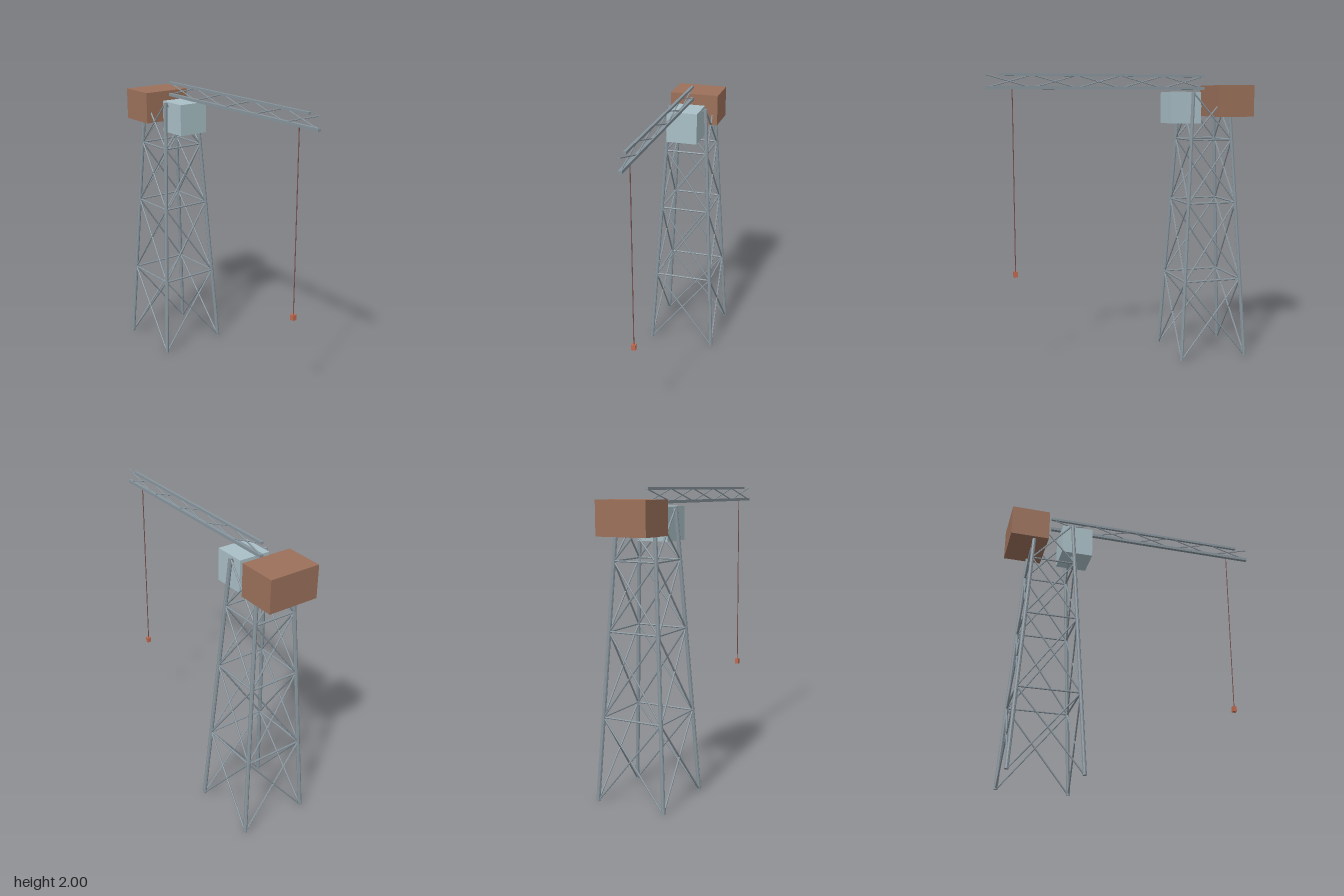
import * as THREE from 'three';

const paint = (color) => new THREE.MeshStandardMaterial({ color, flatShading: true });
const steel = paint(0x87949c);
const cabPaint = paint(0xa9bfc6);
const rust = paint(0x9b705a);
const ropePaint = paint(0x7a5650);
const loadPaint = paint(0xc06a50);

const UP = new THREE.Vector3(0, 1, 0);

// Round bar running between two points
function bar(name, a, b, radius, material = steel, sides = 8) {
  const dir = b.clone().sub(a);
  const mesh = new THREE.Mesh(new THREE.CylinderGeometry(radius, radius, dir.length(), sides), material);
  mesh.position.copy(a).add(b).multiplyScalar(0.5);
  mesh.quaternion.setFromUnitVectors(UP, dir.normalize());
  mesh.name = name;
  return mesh;
}

// Box given by its lower and upper corners
function block(name, min, max, material) {
  const size = max.map((v, i) => v - min[i]);
  const mesh = new THREE.Mesh(new THREE.BoxGeometry(...size), material);
  mesh.position.set(...max.map((v, i) => (v + min[i]) / 2));
  mesh.name = name;
  return mesh;
}

function createTower() {
  const tower = new THREE.Group();
  tower.name = 'tower';
  const top = 1.877, centreZ = -0.618;
  const levels = [0.001, 0.557, 1.107, 1.55, top];
  const corners = [[1, 1], [1, -1], [-1, -1], [-1, 1]];
  const node = (i, y) => {
    const half = THREE.MathUtils.lerp(0.242, 0.132, y / top);
    const [sx, sz] = corners[i % 4];
    return new THREE.Vector3(sx * half, y, centreZ + sz * half);
  };

  for (let i = 0; i < 4; i++) {
    tower.add(bar('towerLeg', node(i, levels[0]), node(i, top), 0.0135));
    for (let k = 0; k < 4; k++) {
      const [lo, hi] = [levels[k], levels[k + 1]];
      // Crossed diagonals on each face, with a tie at the inner levels
      tower.add(bar('crossBrace', node(i, lo), node(i + 1, hi), 0.006, steel, 6));
      tower.add(bar('crossBrace', node(i + 1, lo), node(i, hi), 0.006, steel, 6));
      if (k > 0) tower.add(bar('tieBar', node(i, lo), node(i + 1, lo), 0.0065, steel, 6));
    }
  }
  return tower;
}

function createJib() {
  const jib = new THREE.Group();
  jib.name = 'jib';
  const back = -0.618, tip = 0.924, bays = 5;
  const low = 1.906, high = 1.991;
  jib.add(block('lowerChord', [-0.012, 1.896, back], [0.012, 1.916, tip], steel));
  jib.add(block('upperChord', [-0.009, 1.983, back], [0.009, 2, 0.837], steel));

  // Flat lacing of crossed bars
  const step = (tip - back) / bays;
  for (let k = 0; k < bays; k++) {
    const z0 = back + k * step, z1 = z0 + step;
    for (const [y0, y1] of [[low, high], [high, low]]) {
      jib.add(bar('lacing', new THREE.Vector3(0, y0, z0), new THREE.Vector3(0, y1, z1), 0.0045, steel, 6));
    }
  }
  return jib;
}

function createHoist() {
  const hoist = new THREE.Group();
  hoist.name = 'hoist';
  const z = 0.752;
  hoist.add(bar('hoistRope', new THREE.Vector3(0, 0.655, z), new THREE.Vector3(0, 1.9, z), 0.0035, ropePaint, 6));
  hoist.add(block('hookBlock', [-0.014, 0.625, z - 0.014], [0.014, 0.664, z + 0.014], loadPaint));
  return hoist;
}

export function createModel() {
  const crane = new THREE.Group();
  crane.name = 'towerCrane';
  crane.add(createTower(), createJib(), createHoist());
  crane.add(block('cab', [-0.11, 1.663, -0.552], [0.11, 1.881, -0.333], cabPaint));
  crane.add(block('counterweight', [-0.176, 1.708, -0.927], [0.176, 1.927, -0.662], rust));
  return crane;
}
